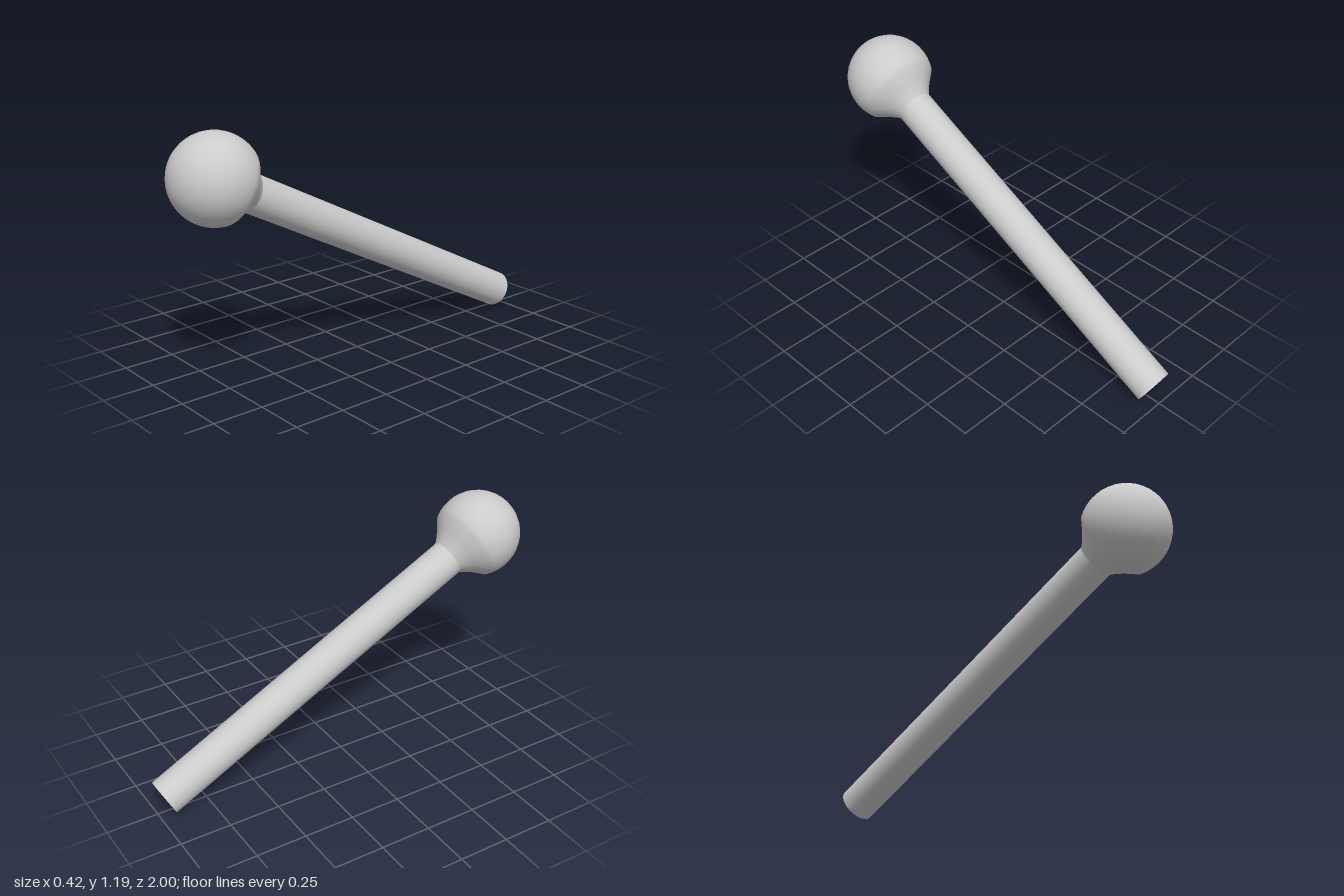
import * as THREE from 'three';

const SHAFT_RADIUS = 0.09;
const BALL_RADIUS = 0.209;
const BALL_CENTRE = 1.969; // distance along the shaft axis
const NECK_START = 1.771;

export function createModel() {
  const material = new THREE.MeshStandardMaterial({ color: 0xcccccc, side: THREE.DoubleSide });
  const model = new THREE.Group();
  model.name = 'ballEndedRod';

  const add = (name, geometry, y) => {
    const mesh = new THREE.Mesh(geometry, material);
    mesh.name = name;
    mesh.position.y = y;
    model.add(mesh);
  };

  // Hollow straight shaft, open at the far end
  add('shaft', new THREE.CylinderGeometry(SHAFT_RADIUS, SHAFT_RADIUS, NECK_START, 48, 1, true), NECK_START / 2);

  // Ball with a small flared neck, turned around the shaft axis
  const profile = [
    [SHAFT_RADIUS, -0.198], [0.1, -0.182], [0.116, -0.163], [0.139, -0.137],
  ].map(([r, y]) => new THREE.Vector2(r, y));
  const steps = 14;
  const startAngle = -0.46;
  for (let i = 0; i <= steps; i++) {
    const a = startAngle + (Math.PI / 2 - startAngle) * (i / steps);
    profile.push(new THREE.Vector2(Math.max(0, BALL_RADIUS * Math.cos(a)), BALL_RADIUS * Math.sin(a)));
  }
  add('ballHead', new THREE.LatheGeometry(profile, 48), BALL_CENTRE);

  // Lean the rod up towards the front
  model.rotation.x = THREE.MathUtils.degToRad(62.67);
  model.position.set(0, 0.084, -0.959);

  const root = new THREE.Group();
  root.name = 'model';
  root.add(model);
  return root;
}
